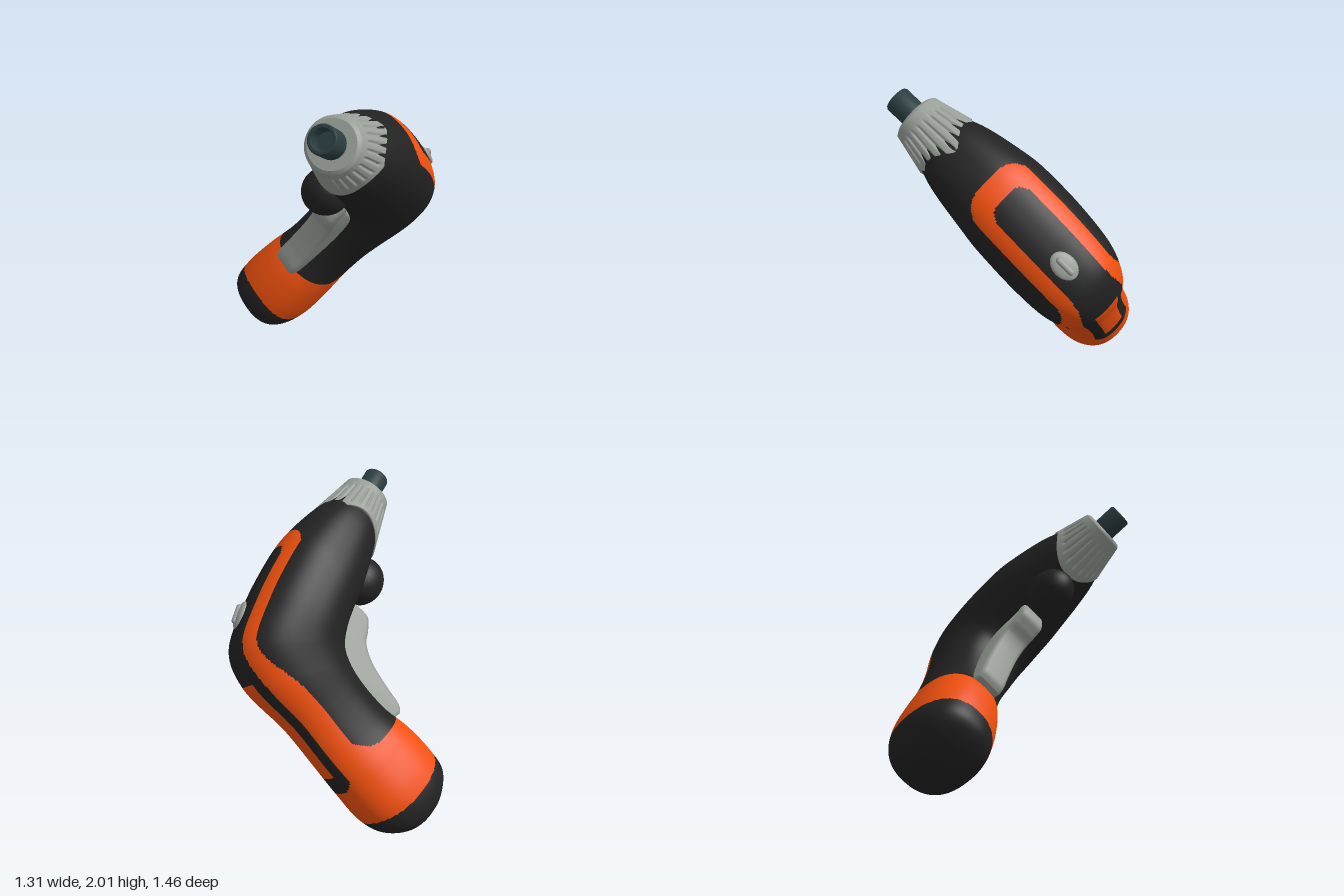
import * as THREE from 'three';
import { toCreasedNormals } from 'three/addons/utils/BufferGeometryUtils.js';

const paint = (color) => new THREE.MeshStandardMaterial({ color });
const BLACK = paint(0x222222), ORANGE = paint(0xf0500e), GREY = paint(0x999f98), STEEL = paint(0x2a3d40);
const { smoothstep, clamp, radToDeg } = THREE.MathUtils;

function add(parent, name, geometry, material) {
  const mesh = new THREE.Mesh(geometry, material);
  mesh.name = name;
  parent.add(mesh);
  return mesh;
}

// Closed tube of rows x cols quads; at(s, angle) gives each point and
// pick(s, angle) the zone of each quad. Returns one geometry per zone.
function skin(rows, cols, at, pick = () => 0) {
  const pos = [], all = [], zones = [];
  for (let i = 0; i <= rows; i++)
    for (let j = 0; j < cols; j++) pos.push(...at(i / rows, (j / cols) * Math.PI * 2));
  for (let i = 0; i < rows; i++)
    for (let j = 0; j < cols; j++) {
      const k = (j + 1) % cols;
      const a = i * cols + j, b = a + cols, c = (i + 1) * cols + k, d = i * cols + k;
      const zone = pick((i + 0.5) / rows, ((j + 0.5) / cols) * Math.PI * 2);
      (zones[zone] ??= []).push(a, b, c, a, c, d);
      all.push(a, b, c, a, c, d);
    }
  const whole = new THREE.BufferGeometry();
  whole.setAttribute('position', new THREE.Float32BufferAttribute(pos, 3));
  whole.setIndex(all);
  whole.computeVertexNormals();
  return zones.map((index) => {
    const g = new THREE.BufferGeometry();
    g.setAttribute('position', whole.attributes.position);
    g.setAttribute('normal', whole.attributes.normal);
    g.setIndex(index);
    return g;
  });
}

// Body sections in the tool's plane: inner x, y, outer x, y, half width
const SECTIONS = [
  [-0.2, -0.175, -0.2, 0.18, 0.18],
  [-0.34, -0.215, -0.34, 0.233, 0.228],
  [-0.6, -0.275, -0.58, 0.29, 0.275],
  [-0.78, -0.3, -0.72, 0.3, 0.295],
  [-0.9, -0.33, -1.1, 0.268, 0.3],
  [-0.99, -0.38, -1.4, 0.185, 0.29],
  [-1.05, -0.46, -1.53, 0, 0.272],
  [-1.1, -0.58, -1.605, -0.36, 0.24],
  [-1.15, -0.8, -1.685, -0.62, 0.23],
  [-1.16, -1.0, -1.755, -0.85, 0.25],
  [-1.2, -1.2, -1.81, -1.07, 0.26],
  [-1.25, -1.33, -1.8, -1.22, 0.24],
  [-1.37, -1.4, -1.73, -1.335, 0.18],
  [-1.48, -1.42, -1.64, -1.395, 0.09],
  [-1.56, -1.415, -1.56, -1.415, 0],
];
const LAST = SECTIONS.length - 1;

function bodyZones() {
  const inner = new THREE.CatmullRomCurve3(SECTIONS.map((s) => new THREE.Vector3(s[0], s[1], s[4])));
  const outer = new THREE.CatmullRomCurve3(SECTIONS.map((s) => new THREE.Vector3(s[2], s[3], 0)));
  const round = (v) => Math.sign(v) * Math.abs(v) ** 0.86;
  let lastS = -1, p, q, shift;
  const at = (s, angle) => {
    if (s !== lastS) {
      p = inner.getPoint(s);
      q = outer.getPoint(s);
      shift = -0.035 * smoothstep(s * LAST, 2, 6);
      lastS = s;
    }
    const c = round(Math.cos(angle)), w = round(Math.sin(angle));
    return [(p.x + q.x) / 2 + ((q.x - p.x) / 2) * c, (p.y + q.y) / 2 + ((q.y - p.y) / 2) * c, shift + p.z * w];
  };
  // Zones: 0 black grip and barrel, 1 orange shell, 2 black back panel, 3 orange inlay, 4 end cap
  const pick = (s, angle) => {
    const t = s * LAST;
    const deg = radToDeg(Math.min(angle, Math.PI * 2 - angle));
    const mix = smoothstep(t, 4.7, 6.5);
    const strip = 41 + 31 * mix, panel = 22 + 13 * mix;
    if (t > 10.3 - 0.15 * Math.cos(2 * angle)) return 4;
    if (t > 6 && t < 8.45 && deg < 17) return 3;
    const bow = (deg / panel) ** 4;
    if (deg < panel && t > 2.95 + 0.25 * bow && t < 8.95 - 0.25 * bow) return 2;
    if (deg < strip && t > 2 + 0.6 * (deg / strip) ** 4) return 1;
    const corner = clamp(1 - (deg - strip) / 25, 0, 1);
    return t > 8.45 - 0.5 * corner ** 2 ? 1 : 0;
  };
  return skin(LAST * 20, 200, at, pick);
}

// Ribbed nose cone with a scalloped rear edge
function chuck() {
  const at = (s, angle) => {
    if (s === 0) return [0, 0, 0];
    const rear = 0.31 + 0.07 * Math.cos(2 * angle);
    const v = clamp((s - 0.1) / 0.8, 0, 1);
    const x = -0.012 - v * (rear - 0.012);
    let r = s < 0.1 ? 0.135 : 0.15 - 0.245 * x;
    if (s > 0.9) r -= 0.6 * (s - 0.9) + 0.004;
    const fade = smoothstep(v, 0.15, 0.3) * (1 - smoothstep(v, 0.75, 0.9));
    r -= 0.011 * fade * Math.max(0, Math.cos(24 * angle)) ** 2;
    return [s < 0.1 ? 0 : x, r * Math.cos(angle), r * Math.sin(angle)];
  };
  return skin(40, 240, at)[0];
}

export function createModel() {
  const tool = new THREE.Group();
  tool.name = 'screwdriver';

  const names = ['gripAndBarrel', 'orangeShell', 'backPanel', 'backInlay', 'endCap'];
  const colors = [BLACK, ORANGE, BLACK, ORANGE, BLACK];
  bodyZones().forEach((g, i) => add(tool, names[i], g, colors[i]));

  add(tool, 'chuck', chuck(), GREY);

  // Hollow bit holder
  const socket = [[0.08, -0.05], [0.08, 0.14], [0.073, 0.15], [0.06, 0.15], [0.055, 0.14], [0.055, 0.06], [0, 0.06]];
  const bit = new THREE.LatheGeometry(socket.map(([r, y]) => new THREE.Vector2(r, y)), 40);
  bit.rotateZ(-Math.PI / 2);
  add(tool, 'bitHolder', toCreasedNormals(bit, 0.7), STEEL);

  // Trigger
  const shape = new THREE.Shape();
  shape.moveTo(-1.12, -0.35);
  shape.lineTo(-0.7, -0.28);
  shape.splineThru([[-0.72, -0.41], [-0.79, -0.46], [-0.88, -0.5], [-0.96, -0.6], [-1.03, -0.76], [-1.075, -0.88], [-1.12, -0.92]]
    .map(([x, y]) => new THREE.Vector2(x, y)));
  shape.lineTo(-1.28, -0.85);
  shape.closePath();
  const trigger = new THREE.ExtrudeGeometry(shape, {
    depth: 0.12, curveSegments: 24, bevelSize: 0.03, bevelThickness: 0.03, bevelOffset: -0.03, bevelSegments: 4,
  });
  trigger.translate(0, 0, -0.095);
  add(tool, 'trigger', toCreasedNormals(trigger, 0.7), GREY);

  // Rounded nub under the barrel
  const nub = add(tool, 'underNub', new THREE.SphereGeometry(1, 32, 24), BLACK);
  nub.scale.set(0.16, 0.145, 0.14);
  nub.position.set(-0.53, -0.27, -0.01);

  // Direction switch on the back panel
  const button = new THREE.Group();
  button.name = 'directionSwitch';
  button.position.set(-1.185, 0.255, -0.045);
  button.rotation.z = 0.22;
  add(button, 'switchPlate', new THREE.SphereGeometry(1, 32, 16), GREY).scale.set(0.09, 0.024, 0.065);
  const ridge = new THREE.CapsuleGeometry(0.018, 0.09, 6, 16).rotateZ(Math.PI / 2);
  add(button, 'switchRidge', ridge, GREY).position.y = 0.02;
  tool.add(button);

  // Tilt the tool: local x along the barrel, y out of its back, z sideways
  const forward = new THREE.Vector3(0, 0.54, 0.84).normalize();
  const back = new THREE.Vector3(0.643, 0.643, -0.414).normalize();
  const side = new THREE.Vector3().crossVectors(forward, back).normalize();
  back.crossVectors(side, forward);
  tool.quaternion.setFromRotationMatrix(new THREE.Matrix4().makeBasis(forward, back, side));
  tool.position.set(0.35, 1.85, 0.57);

  const model = new THREE.Group();
  model.name = 'model';
  model.add(tool);
  return model;
}
